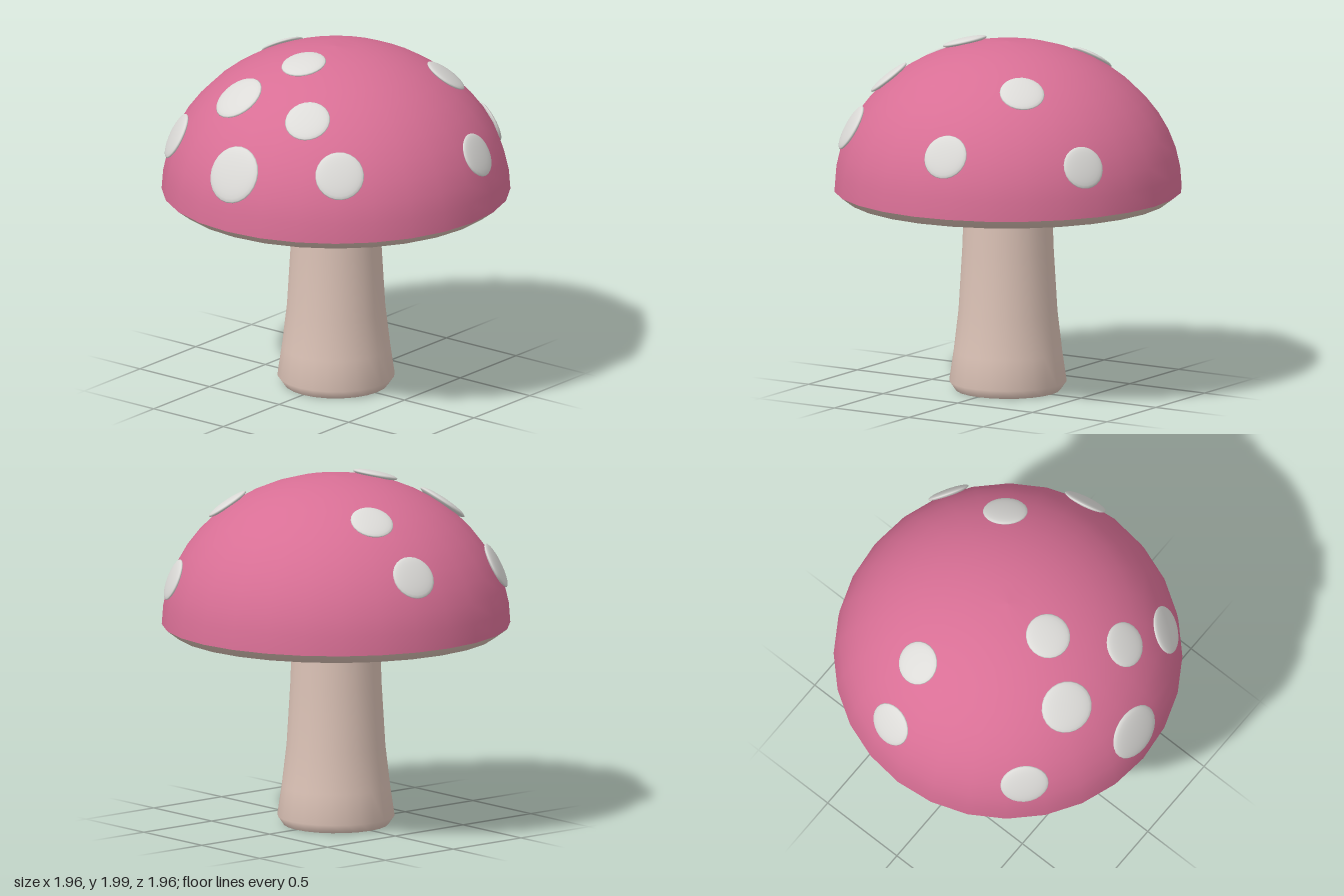
import * as THREE from 'three';

const CAP = { radius: 0.978, height: 0.842, base: 1.145, z: -0.01 };

function material(name, color) {
  const m = new THREE.MeshStandardMaterial({ color });
  m.name = name;
  return m;
}

export function createModel() {
  const pink = material('capPink', 0xd86f95);
  const cream = material('stemCream', 0xdac1b5);
  const white = material('spotWhite', 0xdcdbd8);
  const group = new THREE.Group();
  group.name = 'mushroom';

  const add = (name, geometry, mat) => {
    const mesh = new THREE.Mesh(geometry, mat);
    mesh.name = name;
    mesh.position.z = CAP.z;
    group.add(mesh);
    return mesh;
  };
  const lathe = (profile, sides) =>
    new THREE.LatheGeometry(profile.map(([r, y]) => new THREE.Vector2(r, y)), sides);

  // Stem: flared foot with a small bevel, closed by a flat base
  add('stem', lathe([
    [0.295, 0], [0.33, 0.05], [0.305, 0.22], [0.278, 0.45],
    [0.257, 0.8], [0.246, 1.1],
  ], 24), cream);
  add('stemBase', new THREE.CircleGeometry(0.295, 24).rotateX(Math.PI / 2), cream);

  // Cap: half ellipsoid dome over a bevelled flat underside
  const dome = [];
  for (let i = 0; i <= 12; i++) {
    const a = (i / 12) * Math.PI / 2;
    dome.push([i === 12 ? 0 : CAP.radius * Math.cos(a), CAP.base + CAP.height * Math.sin(a)]);
  }
  add('cap', lathe(dome, 28), pink);
  add('capUnderside', lathe([
    [0, 1.092], [0.85, 1.092], [0.91, 1.094], [CAP.radius, CAP.base],
  ], 28), cream);

  // Spots: flattened lenses lying on the dome [x, y, z, radius]
  const spots = [
    [0, 1.955, 0.28, 0.127],
    [-0.22, 1.80, 0.60, 0.148],
    [0.29, 1.77, 0.61, 0.128],
    [0, 1.47, 0.92, 0.163],
    [-0.65, 1.495, 0.64, 0.136],
    [0.58, 1.52, 0.68, 0.137],
    [-0.875, 1.56, -0.17, 0.127],
    [0.91, 1.495, -0.175, 0.127],
    [-0.565, 1.845, -0.22, 0.122],
    [0.48, 1.82, -0.42, 0.126],
    [0.47, 1.43, -0.83, 0.121],
  ];
  const lens = new THREE.SphereGeometry(1, 24, 12).rotateX(Math.PI / 2);
  const forward = new THREE.Vector3(0, 0, 1);
  const axes = new THREE.Vector3(CAP.radius, CAP.height, CAP.radius);
  const centre = new THREE.Vector3(0, CAP.base, CAP.z);
  spots.forEach(([x, y, z, r], i) => {
    const unit = new THREE.Vector3(x, y, z).sub(centre).divide(axes).normalize();
    const normal = unit.clone().divide(axes).normalize();
    const spot = add(`spot${i + 1}`, lens, white);
    spot.position.copy(unit).multiply(axes).add(centre).addScaledVector(normal, 0.006);
    spot.quaternion.setFromUnitVectors(forward, normal);
    spot.scale.set(r, r, r * 0.17);
  });

  return group;
}
